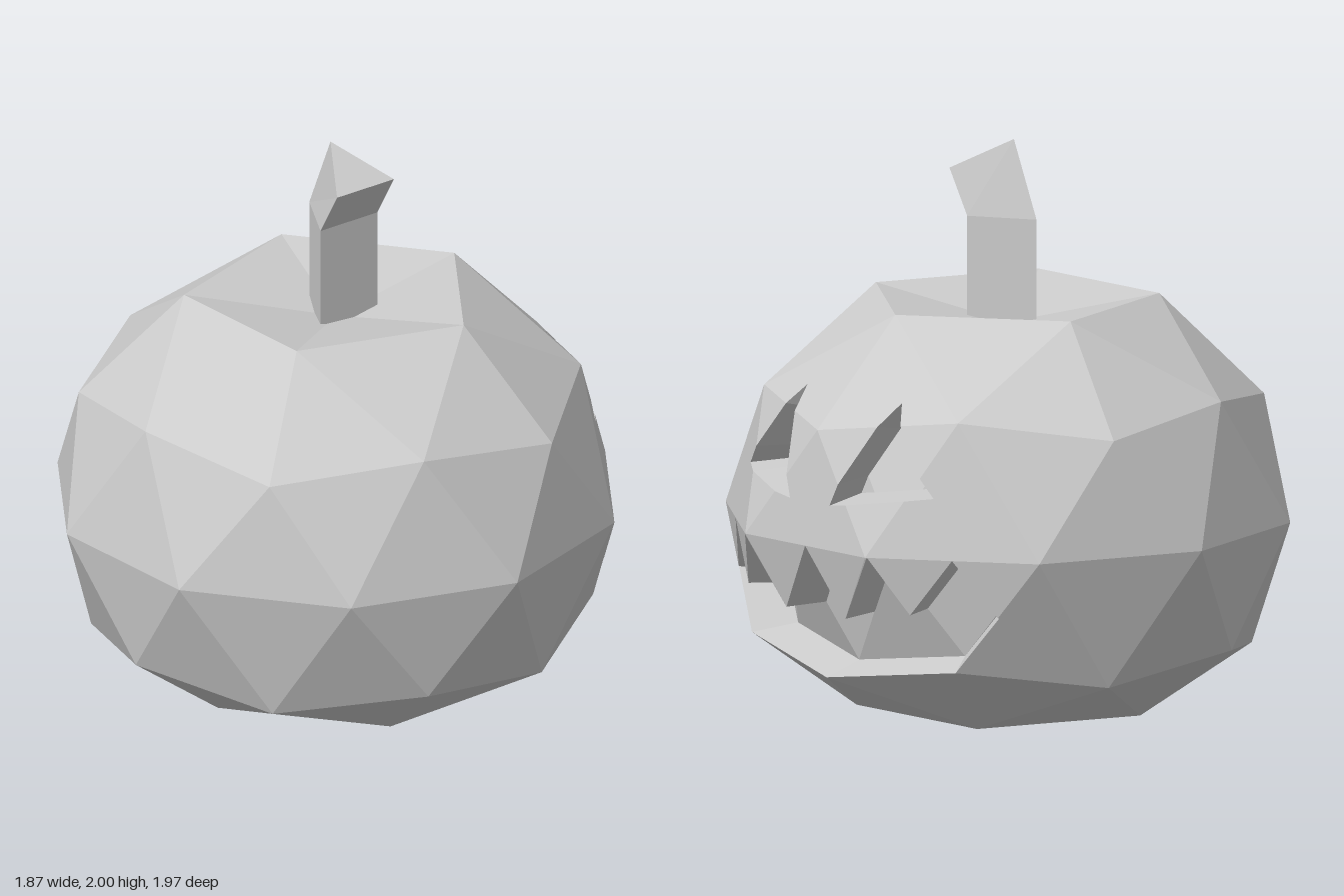
import * as THREE from 'three';

const V = (x, y, z) => new THREE.Vector3(x, y, z);
const polar = (r, y, deg) => {
  const a = THREE.MathUtils.degToRad(deg);
  return V(r * Math.cos(a), y, r * Math.sin(a));
};

// Flat-shaded mesh from a list of convex polygons
function polyMesh(polys, name) {
  const pos = [];
  for (const p of polys)
    for (let i = 1; i < p.length - 1; i++)
      for (const v of [p[0], p[i], p[i + 1]]) pos.push(v.x, v.y, v.z);
  const geo = new THREE.BufferGeometry();
  geo.setAttribute('position', new THREE.Float32BufferAttribute(pos, 3));
  geo.computeVertexNormals();
  const mesh = new THREE.Mesh(geo, new THREE.MeshStandardMaterial({ color: 0xcccccc, flatShading: true }));
  mesh.name = name;
  return mesh;
}

// Half of a faceted ball: pole, small ring, two staggered rings, equator
function halfBall(poleY, tipY, cornerY, midY, turn) {
  const tris = [];
  for (let k = 0; k < 5; k++) {
    const a = 72 * k + turn;
    const P = V(0, poleY, 0), T = polar(0.52, tipY, a), T2 = polar(0.52, tipY, a + 72);
    const U = polar(0.88, cornerY, a), U2 = polar(0.88, cornerY, a + 72), M = polar(0.838, midY, a + 36);
    const [E0, E1, E2] = [-18, 18, 54].map(d => polar(0.985, 0.7, a + d));
    tris.push([P, T, T2], [T, T2, M], [T, U, M], [T2, M, U2],
      [U, E0, E1], [U, M, E1], [M, E1, E2], [M, E2, U2]);
  }
  return tris;
}

const normalOf = p => p[1].clone().sub(p[0]).cross(p[2].clone().sub(p[0]));

// Make a triangle face away from the ball's centre
function outward(t) {
  const c = t[0].clone().add(t[1]).add(t[2]).divideScalar(3).sub(V(0, 0.7, 0));
  return normalOf(t).dot(c) < 0 ? [t[0], t[2], t[1]] : t;
}

// Signed distance of a point from the line a-b, measured in the (z, y) plane
function side(p, a, b) {
  const dz = b[0] - a[0], dy = b[1] - a[1];
  return (dz * (p.y - a[1]) - dy * (p.z - a[0])) / Math.hypot(dz, dy);
}

// Split a convex polygon along a line into its two sides
function split(poly, a, b) {
  const left = [], right = [], eps = 1e-6;
  poly.forEach((p, i) => {
    const q = poly[(i + 1) % poly.length];
    const d = side(p, a, b), e = side(q, a, b);
    if (d > -eps) left.push(p);
    if (d < eps) right.push(p);
    if ((d > eps && e < -eps) || (d < -eps && e > eps)) {
      const m = p.clone().lerp(q, d / (d - e));
      left.push(m);
      right.push(m);
    }
  });
  return [left, right];
}

function area(p) {
  const n = V(0, 0, 0);
  for (let i = 1; i < p.length - 1; i++)
    n.add(p[i].clone().sub(p[0]).cross(p[i + 1].clone().sub(p[0])));
  return n.length() / 2;
}
const solid = p => p.length > 2 && area(p) > 1e-6;

// Cut a convex hole from polygons; returns what stays and what is cut out
function cut(polys, hole) {
  const keep = [], out = [];
  for (let p of polys) {
    for (let i = 0; i < hole.length && solid(p); i++) {
      const [inside, outside] = split(p, hole[i], hole[(i + 1) % hole.length]);
      if (solid(outside)) keep.push(outside);
      p = inside;
    }
    if (solid(p)) out.push(p);
  }
  return [keep, out];
}

const mirror = pts => pts.map(([z, y]) => [-z, y]).reverse();

// Carved openings as (z, y) outlines, with convex pieces for cutting
function openings() {
  const lip = [0.88 * Math.sin(Math.PI / 5), 0.3], chin = [0, 0.23];
  const a = [0.66, 0.5], b = [0.55, 0.7], c = [0.41, 0.5], d = [0.31, 0.7], e = [0.15, 0.46], top = [0, 0.7];
  const half = [lip, a, b, c, d, e];
  const sidePieces = [[a, b, c], [c, d, e], [a, c, e, lip]];
  const eInv = mirror([e])[0], lipInv = mirror([lip])[0];
  const mouth = {
    height: 0.47,
    outline: [chin, ...half, top, ...mirror(half)],
    pieces: [...sidePieces, ...sidePieces.map(mirror), [e, top, eInv], [e, eInv, lipInv, chin, lip]],
  };
  const eye = [[0.24, 1.2], [0.465, 0.905], [0.1, 0.85]];
  const eyes = [eye, mirror(eye)].map(o => ({ height: 0.97, outline: o, pieces: [o] }));
  return [mouth, ...eyes];
}

// Cutting needs counter-clockwise order
function ccw(pts) {
  let s = 0;
  pts.forEach((p, i) => {
    const q = pts[(i + 1) % pts.length];
    s += p[0] * q[1] - q[0] * p[1];
  });
  return s > 0 ? pts : [...pts].reverse();
}

// True when the edge p-q lies on one segment of the outline
function onOutline(p, q, outline) {
  return outline.some((a, i) => {
    const b = outline[(i + 1) % outline.length];
    const len = Math.hypot(b[0] - a[0], b[1] - a[1]);
    return [p, q].every(v => {
      const t = ((v.z - a[0]) * (b[0] - a[0]) + (v.y - a[1]) * (b[1] - a[1])) / len;
      return Math.abs(side(v, a, b)) < 1e-4 && t > -1e-4 && t < len + 1e-4;
    });
  });
}

export function createModel() {
  const group = new THREE.Group();
  const tris = [
    ...halfBall(1.36, 1.45, 1.095, 1.16, 0),
    ...halfBall(0, 0.04, 0.3, 0.23, 36),
  ].map(outward);

  // Facets on the face side are cut, the rest stay whole
  const facing = t => normalOf(t).x > 1e-4 && t[0].x + t[1].x + t[2].x > 0.9;
  const rest = tris.filter(t => !facing(t));
  let face = tris.filter(facing);
  const carved = [];
  for (const { height, outline, pieces } of openings()) {
    const inset = v => V(v.x * 0.82, height + (v.y - height) * 0.82, v.z * 0.82);
    for (const piece of pieces) {
      const [keep, out] = cut(face, ccw(piece));
      face = keep;
      for (const p of out) {
        carved.push(p.map(inset)); // floor of the recess
        p.forEach((v, i) => { // walls of the recess
          const w = p[(i + 1) % p.length];
          if (v.distanceTo(w) > 1e-5 && onOutline(v, w, outline)) carved.push([v, w, inset(w), inset(v)]);
        });
      }
    }
  }
  group.add(polyMesh([...rest, ...face], 'pumpkinBody'), polyMesh(carved, 'carvedEyesAndMouth'));

  // Three-sided stem, bent forward at the top
  const section = (frontY, frontZ, backY, backZ) =>
    [V(0.125, frontY, frontZ), V(0, backY, backZ), V(-0.125, frontY, frontZ)];
  const rings = [
    section(1.34, 0.07, 1.34, -0.145),
    section(1.735, 0.07, 1.735, -0.145),
    section(1.89, 0.16, 2, -0.03),
  ];
  const stem = [rings[2], [...rings[0]].reverse()];
  for (let r = 0; r < 2; r++)
    for (let i = 0; i < 3; i++) {
      const j = (i + 1) % 3;
      stem.push([rings[r][i], rings[r][j], rings[r + 1][j], rings[r + 1][i]]);
    }
  group.add(polyMesh(stem, 'stem'));
  return group;
}
